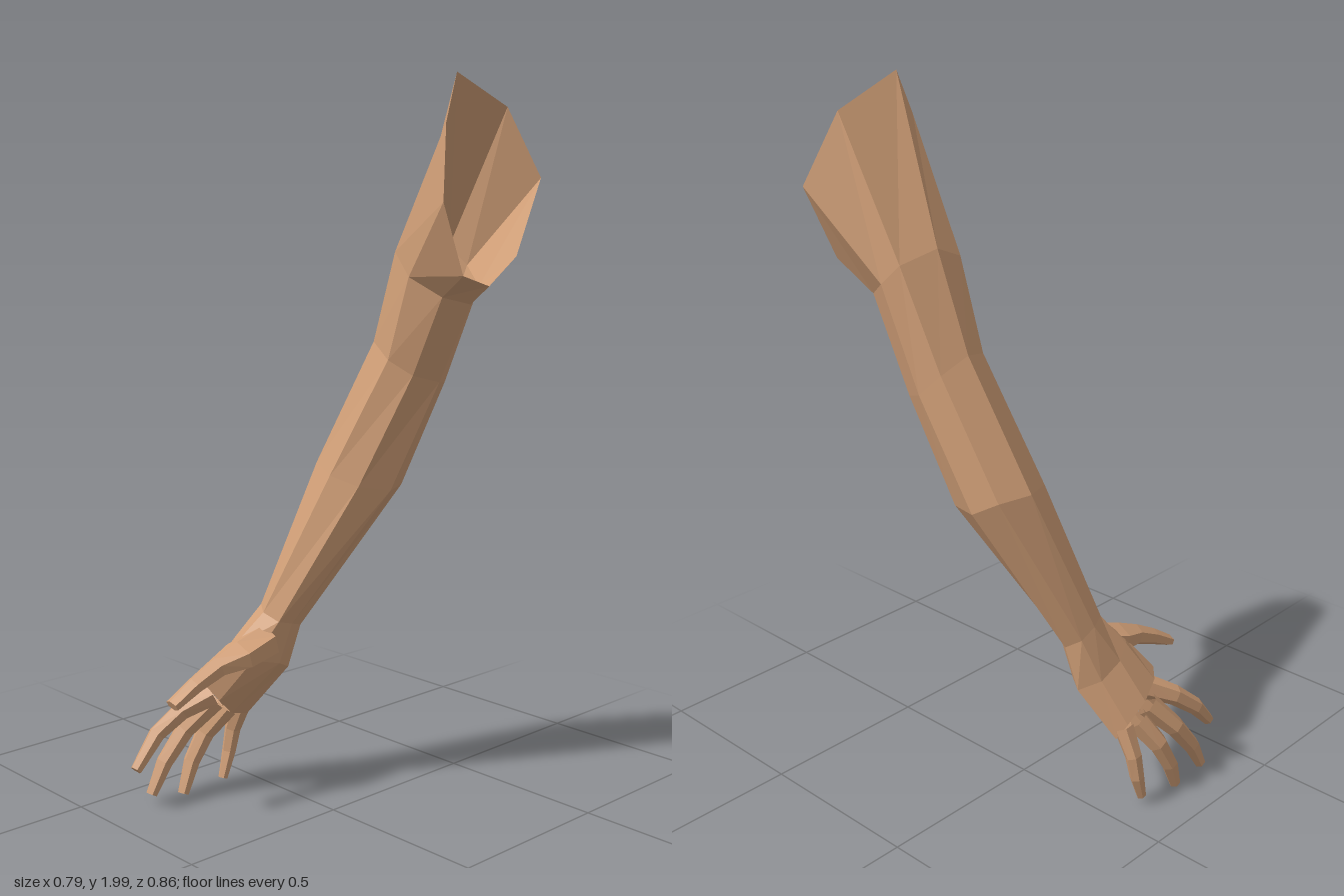
import * as THREE from 'three';

const skin = new THREE.MeshStandardMaterial({ color: 0xd2a078, flatShading: true, side: THREE.DoubleSide });
skin.name = 'skin';

// Joins rings of equal length, listed from shoulder to fingertip, into a skin
function loft(name, rings, capEnd) {
  const pos = [];
  const tri = (...pts) => pts.forEach((p) => pos.push(...p));
  const n = rings[0].length;
  for (let i = 0; i < rings.length - 1; i++) {
    const up = rings[i], lo = rings[i + 1];
    for (let j = 0; j < n; j++) {
      const k = (j + 1) % n;
      tri(lo[j], lo[k], up[k]);
      tri(lo[j], up[k], up[j]);
    }
  }
  if (capEnd) {
    const end = rings[rings.length - 1];
    const mid = [0, 1, 2].map((a) => end.reduce((s, p) => s + p[a], 0) / n);
    for (let j = 0; j < n; j++) tri(end[(j + 1) % n], end[j], mid);
  }
  const geo = new THREE.BufferGeometry();
  geo.setAttribute('position', new THREE.Float32BufferAttribute(pos, 3));
  geo.computeVertexNormals();
  const mesh = new THREE.Mesh(geo, skin);
  mesh.name = name;
  return mesh;
}

// Six-sided tapering finger along a bent path; radii are [width, thickness]
function finger(name, path, radii) {
  const pts = path.map((p) => new THREE.Vector3(...p));
  const rings = pts.map((p, i) => {
    const d = pts[Math.min(i + 1, pts.length - 1)].clone().sub(pts[Math.max(i - 1, 0)]).normalize();
    const u = new THREE.Vector3(1, 0, 0).addScaledVector(d, -d.x).normalize();
    const v = u.clone().cross(d);
    const [w, t] = radii[i];
    return Array.from({ length: 6 }, (_, j) => {
      const a = ((j + 0.5) / 6) * Math.PI * 2;
      return p.clone().addScaledVector(u, Math.cos(a) * t).addScaledVector(v, Math.sin(a) * w).toArray();
    });
  });
  return loft(name, rings, true);
}

export function createModel() {
  const model = new THREE.Group();
  model.name = 'arm';

  // Eight-sided cross-sections: back, round the front, inner side, rear
  const shoulder = [[0.27, 2.0, -0.17], [0.345, 1.87, -0.05], [0.385, 1.68, 0], [0.39, 1.5, -0.07],
    [0.38, 1.47, -0.18], [0.35, 1.54, -0.32], [0.34, 1.74, -0.425], [0.285, 1.92, -0.35]];
  const armpit = [[0.09, 1.59, -0.215], [0.11, 1.55, -0.117], [0.2, 1.49, -0.075], [0.28, 1.44, -0.115],
    [0.31, 1.42, -0.19], [0.25, 1.46, -0.29], [0.165, 1.51, -0.338], [0.12, 1.56, -0.315]];
  const upperArm = [[0, 1.33, -0.203], [0.03, 1.31, -0.12], [0.12, 1.27, -0.083], [0.175, 1.23, -0.12],
    [0.205, 1.21, -0.19], [0.16, 1.2, -0.26], [0.08, 1.23, -0.3], [0.02, 1.29, -0.28]];
  const elbow = [[-0.163, 0.98, -0.145], [-0.125, 0.97, -0.055], [-0.03, 0.95, -0.015], [0.045, 0.925, -0.05],
    [0.087, 0.91, -0.13], [0.045, 0.91, -0.215], [-0.06, 0.93, -0.258], [-0.128, 0.97, -0.23]];
  const wrist = [[-0.25, 0.57, 0.01], [-0.22, 0.57, 0.07], [-0.19, 0.555, 0.088], [-0.14, 0.535, 0.075],
    [-0.13, 0.525, 0.035], [-0.145, 0.51, -0.01], [-0.19, 0.505, -0.04], [-0.24, 0.54, -0.03]];
  const palm = [[-0.285, 0.45, 0.08], [-0.265, 0.475, 0.13], [-0.225, 0.465, 0.17], [-0.175, 0.43, 0.14],
    [-0.155, 0.41, 0.06], [-0.175, 0.385, 0.01], [-0.22, 0.375, -0.02], [-0.275, 0.41, 0.015]];
  const knuckles = [[-0.345, 0.33, 0.12], [-0.32, 0.36, 0.19], [-0.28, 0.365, 0.235], [-0.25, 0.31, 0.2],
    [-0.27, 0.255, 0.14], [-0.28, 0.235, 0.075], [-0.31, 0.23, 0.04], [-0.338, 0.28, 0.055]];

  model.add(loft('openSleeveArm', [shoulder, armpit, upperArm, elbow, wrist], false));

  const hand = new THREE.Group();
  hand.name = 'hand';
  hand.add(loft('palm', [wrist, palm, knuckles], true));

  // Four fingers, each from the knuckle to the blunt tip
  const fingerRadii = [[0.036, 0.034], [0.029, 0.028], [0.025, 0.024], [0.017, 0.016]];
  const fingers = {
    indexFinger: [[-0.285, 0.32, 0.195], [-0.33, 0.278, 0.27], [-0.355, 0.22, 0.34], [-0.348, 0.137, 0.418]],
    middleFinger: [[-0.315, 0.29, 0.165], [-0.363, 0.205, 0.235], [-0.378, 0.12, 0.298], [-0.378, 0.037, 0.345]],
    ringFinger: [[-0.315, 0.26, 0.12], [-0.36, 0.18, 0.165], [-0.373, 0.1, 0.205], [-0.367, 0.014, 0.242]],
    littleFinger: [[-0.312, 0.26, 0.068], [-0.345, 0.175, 0.075], [-0.352, 0.105, 0.085], [-0.35, 0.03, 0.11]],
  };
  for (const [name, path] of Object.entries(fingers)) {
    const s = name === 'littleFinger' ? 0.85 : 1;
    hand.add(finger(name, path, fingerRadii.map((r) => r.map((x) => x * s))));
  }

  // Thumb with a broad fleshy root
  hand.add(finger('thumb',
    [[-0.18, 0.475, 0.08], [-0.188, 0.45, 0.175], [-0.195, 0.43, 0.25], [-0.2, 0.395, 0.325], [-0.204, 0.355, 0.398]],
    [[0.05, 0.05], [0.042, 0.06], [0.03, 0.033], [0.024, 0.026], [0.016, 0.025]]));

  model.add(hand);
  return model;
}
